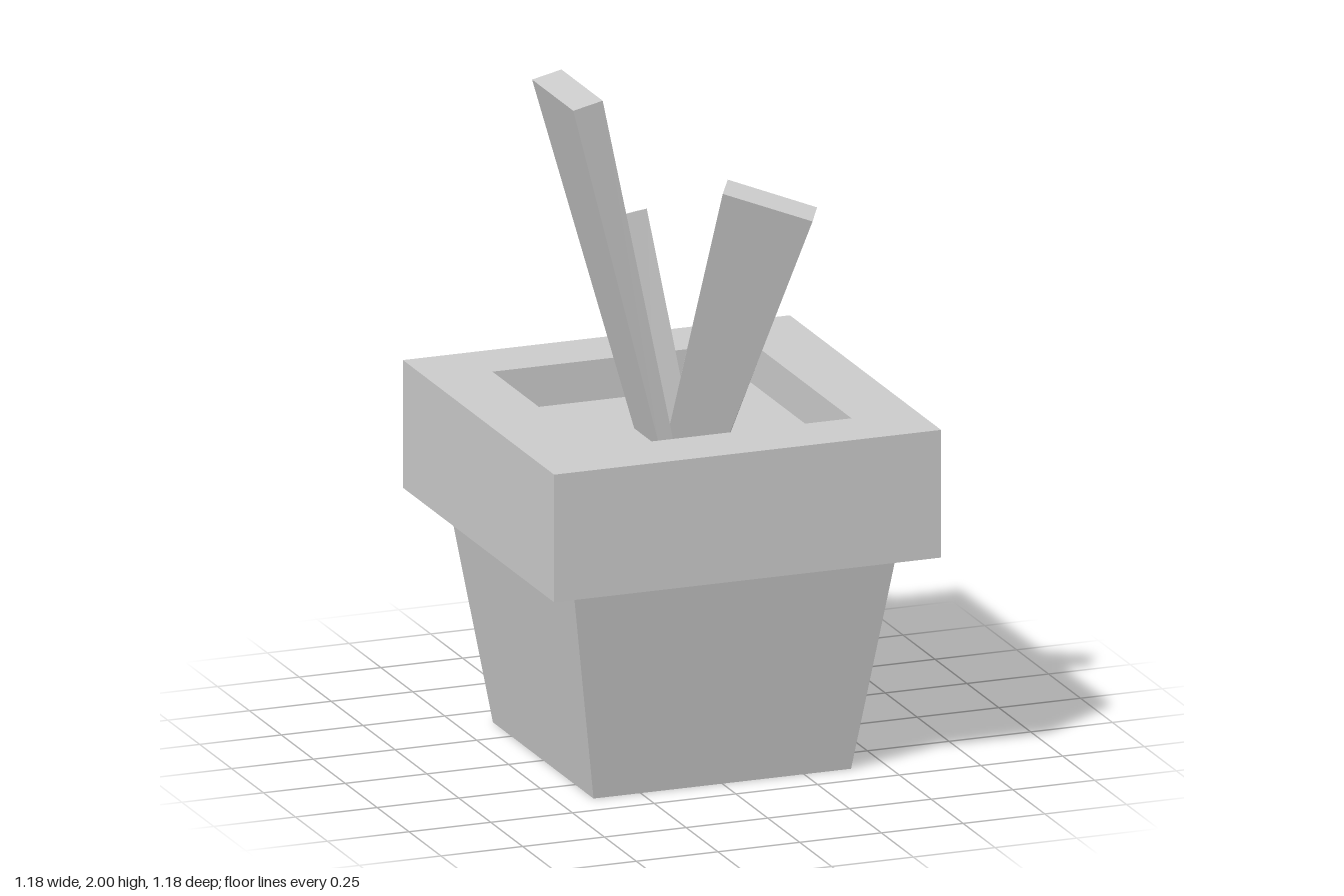
import * as THREE from 'three';

const material = new THREE.MeshStandardMaterial({ color: 0xcccccc, flatShading: true });
const SOIL = 0.925;

// Square section swept around y; profile is [half width, height], listed so faces point outward
function squareLathe(name, profile) {
  const points = profile.map(([h, y]) => new THREE.Vector2(h * Math.SQRT2, y));
  const mesh = new THREE.Mesh(new THREE.LatheGeometry(points, 4, Math.PI / 4), material);
  mesh.name = name;
  return mesh;
}

// Box whose corners are moved to: back left, back right, front left, front right
function leaf(name, bottom, top) {
  const geometry = new THREE.BoxGeometry(1, 1, 1);
  const p = geometry.attributes.position;
  for (let i = 0; i < p.count; i++) {
    const corner = (p.getX(i) > 0 ? 1 : 0) + (p.getZ(i) > 0 ? 2 : 0);
    if (p.getY(i) > 0) p.setXYZ(i, ...top[corner]);
    else p.setXYZ(i, bottom[corner][0], SOIL, bottom[corner][1]);
  }
  geometry.computeVertexNormals();
  const mesh = new THREE.Mesh(geometry, material);
  mesh.name = name;
  return mesh;
}

export function createModel() {
  const model = new THREE.Group();
  model.name = 'pottedPlant';

  // Pot
  model.add(
    squareLathe('potBody', [[0, 0], [0.394, 0], [0.495, 0.665]]),
    squareLathe('potRim', [[0.495, 0.665], [0.592, 0.665], [0.592, 1.046], [0.395, 1.046], [0.395, SOIL]]),
    squareLathe('soil', [[0.395, SOIL], [0, SOIL]])
  );

  // Leaves, wider at the top and leaning outward
  const leaves = new THREE.Group();
  leaves.name = 'leaves';
  leaves.add(
    leaf('tallLeaf',
      [[-0.075, -0.104], [-0.03, -0.104], [-0.075, 0.096], [-0.03, 0.096]],
      [[-0.363, 1.98, -0.167], [-0.273, 2, -0.167], [-0.363, 1.98, 0.156], [-0.273, 2, 0.156]]),
    leaf('backLeaf',
      [[-0.03, -0.12], [0.09, -0.152], [-0.02, -0.085], [0.1, -0.12]],
      [[-0.147, 1.475, -0.323], [0.04, 1.48, -0.383], [-0.132, 1.496, -0.275], [0.053, 1.5, -0.333]]),
    leaf('frontLeaf',
      [[-0.027, 0.025], [0.122, 0.117], [-0.045, 0.065], [0.1, 0.155]],
      [[0.035, 1.785, 0.347], [0.263, 1.71, 0.463], [-0.005, 1.765, 0.41], [0.225, 1.69, 0.525]])
  );
  model.add(leaves);
  return model;
}
